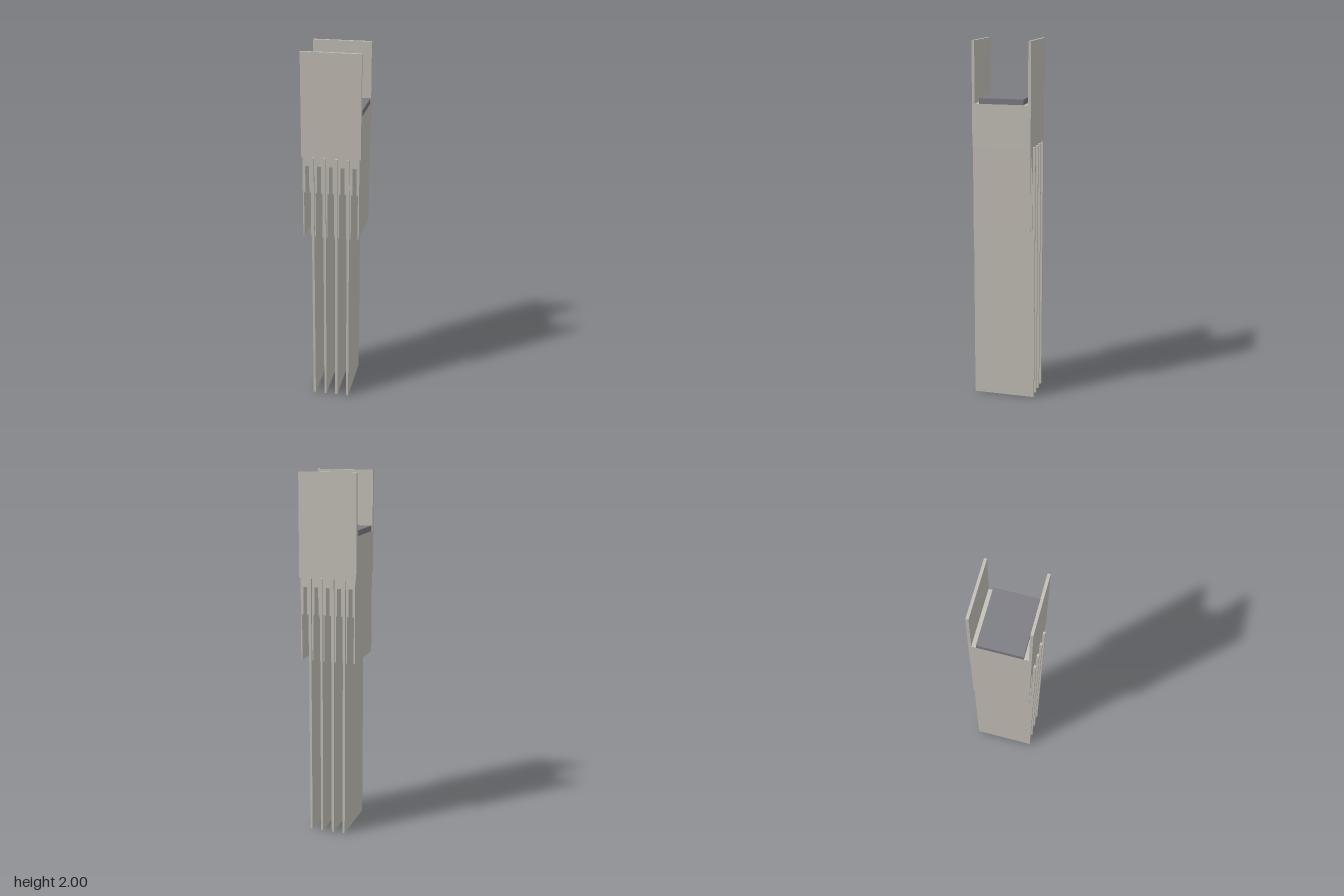
import * as THREE from 'three';

const concrete = new THREE.MeshStandardMaterial({ name: 'concrete', color: 0xc2beb5 });
const roofGrey = new THREE.MeshStandardMaterial({ name: 'roofGrey', color: 0x7b7b82 });

// Box given by its horizontal centre, size, and bottom and top heights
function block(name, material, x, z, width, depth, bottom, top) {
  const mesh = new THREE.Mesh(new THREE.BoxGeometry(width, top - bottom, depth), material);
  mesh.position.set(x, (bottom + top) / 2, z);
  mesh.name = name;
  return mesh;
}

// Upside-down channel: solid head, thick upper legs, thin lower legs
function channelGeometry(depth) {
  const outer = 0.0255, thin = 0.0185, slot = 0.0105;
  const half = [[outer, 1.44], [outer, 0.985], [thin, 0.985], [thin, 1.24], [slot, 1.24], [slot, 1.39]];
  const mirrored = half.map(([x, y]) => [-x, y]).reverse();
  const shape = new THREE.Shape([...half, ...mirrored].map(([x, y]) => new THREE.Vector2(x, y)));
  return new THREE.ExtrudeGeometry(shape, { depth, bevelEnabled: false }).translate(0, 0, -depth / 2);
}

export function createModel() {
  const model = new THREE.Group();
  model.name = 'tower';

  // Upper body, roof slab and the two tall parapet walls
  model.add(block('upperBody', concrete, 0, 0, 0.32, 0.32, 1.44, 1.67));
  model.add(block('roofSlab', roofGrey, 0, 0, 0.32, 0.24, 1.67, 1.7));
  for (const side of [1, -1]) {
    model.add(block(side > 0 ? 'frontWall' : 'backWall', concrete, 0, side * 0.1525, 0.32, 0.015, 1.67, 2));
  }

  // Four long fins reaching the ground
  for (let i = 0; i < 4; i++) {
    model.add(block('fin', concrete, -0.097 + i * 0.064, 0, 0.013, 0.345, 0, 1.44));
  }

  // Five slotted channels between and beside the fins
  const channel = channelGeometry(0.318);
  for (let i = 0; i < 5; i++) {
    const mesh = new THREE.Mesh(channel, concrete);
    mesh.position.x = -0.129 + i * 0.064;
    mesh.name = 'channel';
    model.add(mesh);
  }
  return model;
}
